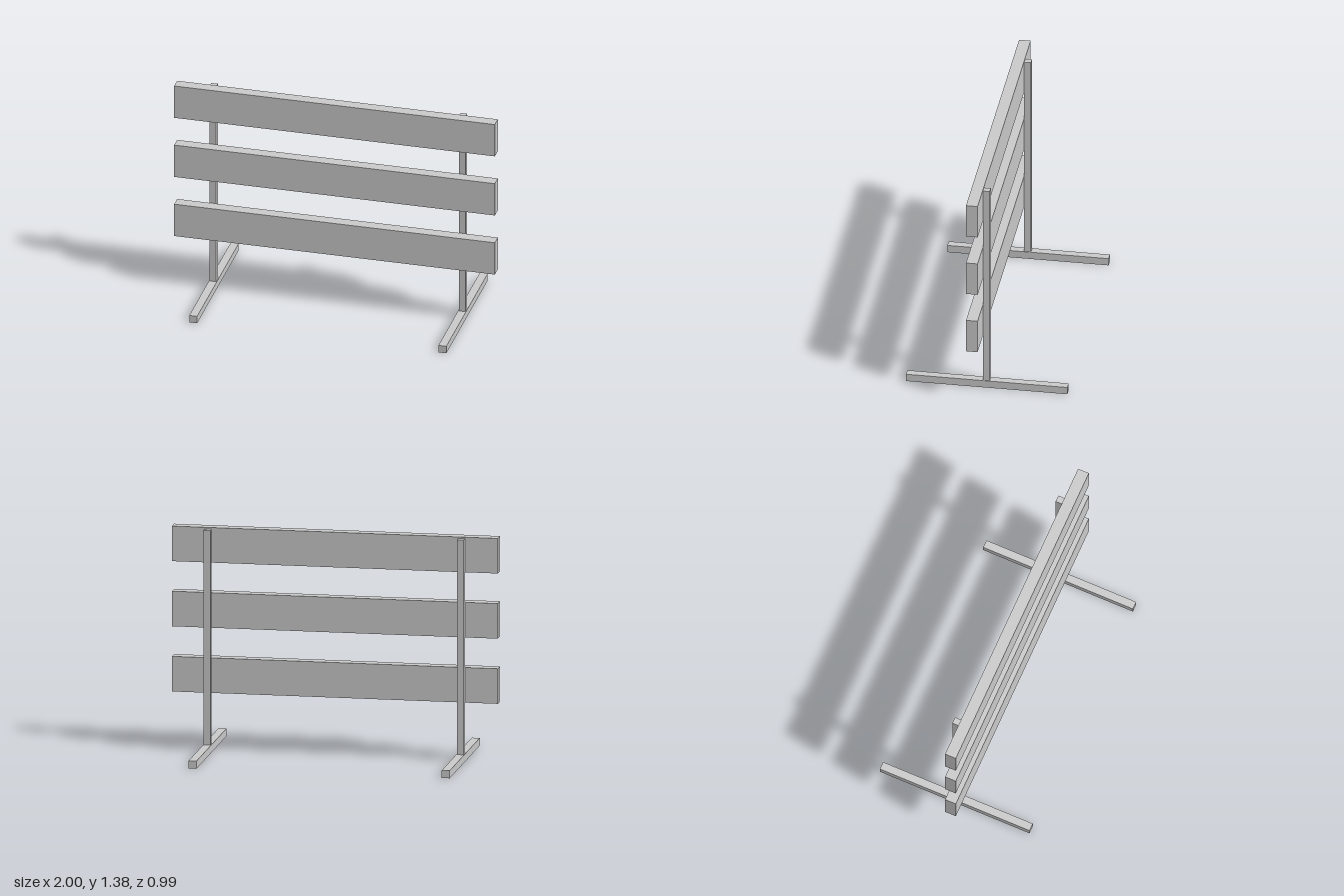
import * as THREE from 'three';

export function createModel() {
  const model = new THREE.Group();
  const material = new THREE.MeshStandardMaterial({ color: 0xcccccc, flatShading: true });

  // Box placed by its centre in x and z and by its bottom in y
  function addBox(name, [w, h, d], [x, bottom, z]) {
    const mesh = new THREE.Mesh(new THREE.BoxGeometry(w, h, d), material);
    mesh.name = name;
    mesh.position.set(x, bottom + h / 2, z);
    model.add(mesh);
  }

  const footHeight = 0.047;
  const postTop = 1.371;
  const postDepth = 0.041;
  const postZ = 0.003;
  const boardDepth = 0.071;

  // Floor beam and upright post on each side
  for (const [side, sign] of [['left', 1], ['right', -1]]) {
    const x = sign * 0.777;
    addBox(`${side}Foot`, [0.049, footHeight, 0.986], [x, 0, 0]);
    addBox(`${side}Post`, [0.041, postTop - footHeight, postDepth], [x, footHeight, postZ]);
  }

  // Three horizontal boards fixed to the front of the posts
  const boardZ = postZ + (postDepth + boardDepth) / 2;
  ['lowerBoard', 'middleBoard', 'upperBoard'].forEach((name, i) => {
    addBox(name, [2, 0.216, boardDepth], [0, 0.361 + i * 0.4015, boardZ]);
  });

  return model;
}
